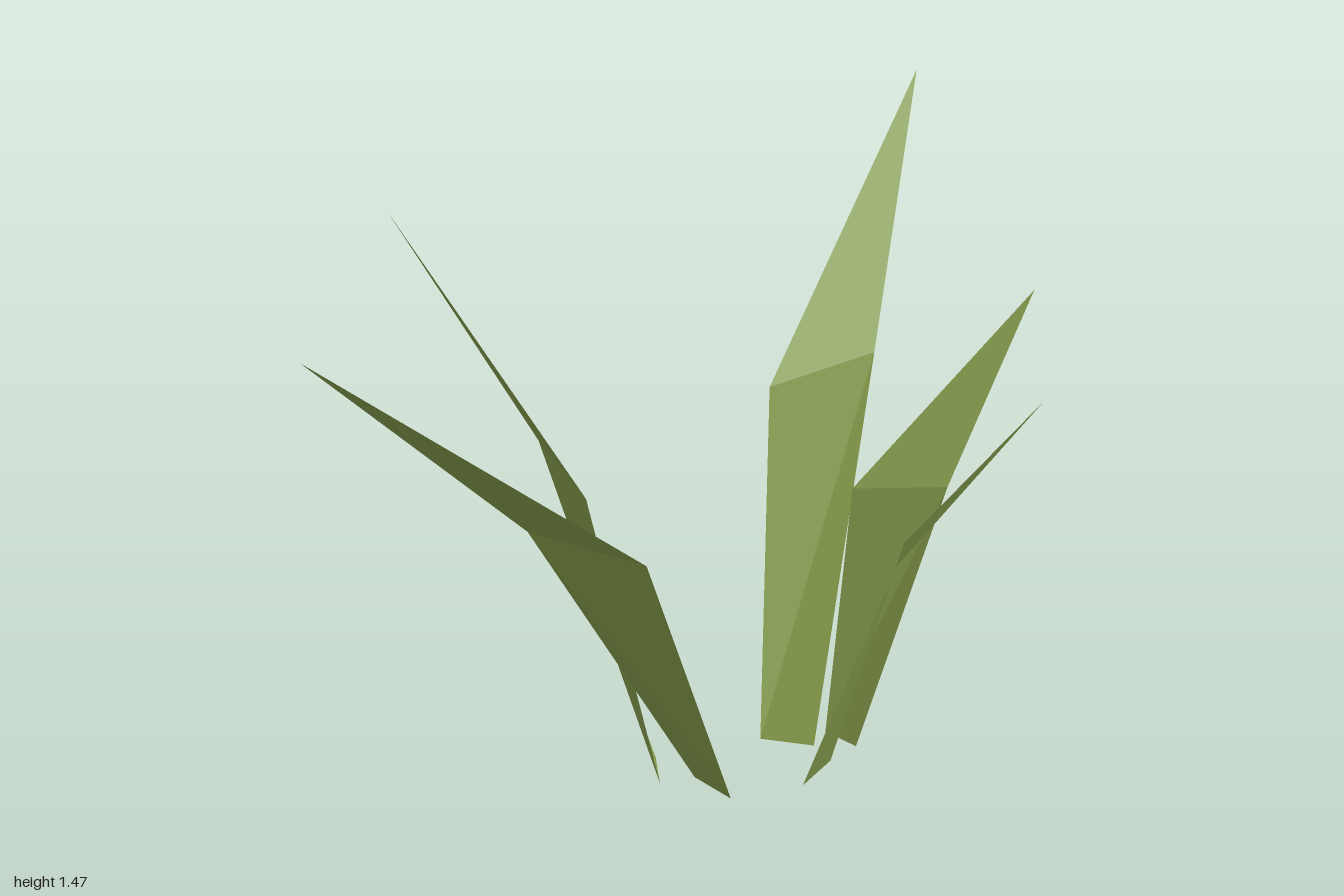
import * as THREE from 'three';

const leafGreen = new THREE.MeshStandardMaterial({ color: 0x89a14f, side: THREE.DoubleSide, flatShading: true });
leafGreen.name = 'leafGreen';

// Corners as seen from outside the clump: base left/right, bend left/right, tip
const BLADES = {
  backBlade: { base: [[0.07, 0, -0.11], [-0.06, 0, -0.08]], bend: [[0.02, 0.87, -0.51], [-0.16, 0.81, -0.31]], tip: [-0.11, 1.47, -1.0] },
  backLeftBlade: { base: [[0.16, 0, -0.155], [0.06, 0, -0.19]], bend: [[0.28, 0.61, -0.38], [0.04, 0.57, -0.36]], tip: [0.36, 1.03, -0.68] },
  leftBlade: { base: [[0.14, 0, 0.08], [0.14, 0, -0.06]], bend: [[0.385, 0.61, 0.12], [0.3, 0.57, -0.1]], tip: [0.7, 1.03, 0.105] },
  frontBlade: { base: [[-0.1, 0, 0.165], [0.025, 0, 0.215]], bend: [[-0.295, 0.7, 0.52], [-0.03, 0.655, 0.47]], tip: [-0.47, 1.18, 1.0] },
  rightBlade: { base: [[-0.23, 0, 0.125], [-0.155, 0, 0.23]], bend: [[-0.46, 0.79, 0.23], [-0.25, 0.73, 0.36]], tip: [-0.7, 1.33, 0.42] },
};

// A twisted lower quad split along one diagonal, then a pointed upper triangle
function makeBlade(name, { base: [bl, br], bend: [ml, mr], tip }) {
  const corners = [bl, br, ml, br, mr, ml, ml, mr, tip];
  const geometry = new THREE.BufferGeometry();
  geometry.setAttribute('position', new THREE.Float32BufferAttribute(corners.flat(), 3));
  geometry.computeVertexNormals();
  const mesh = new THREE.Mesh(geometry, leafGreen);
  mesh.name = name;
  return mesh;
}

export function createModel() {
  const group = new THREE.Group();
  group.name = 'grassClump';
  for (const [name, blade] of Object.entries(BLADES)) group.add(makeBlade(name, blade));
  return group;
}
